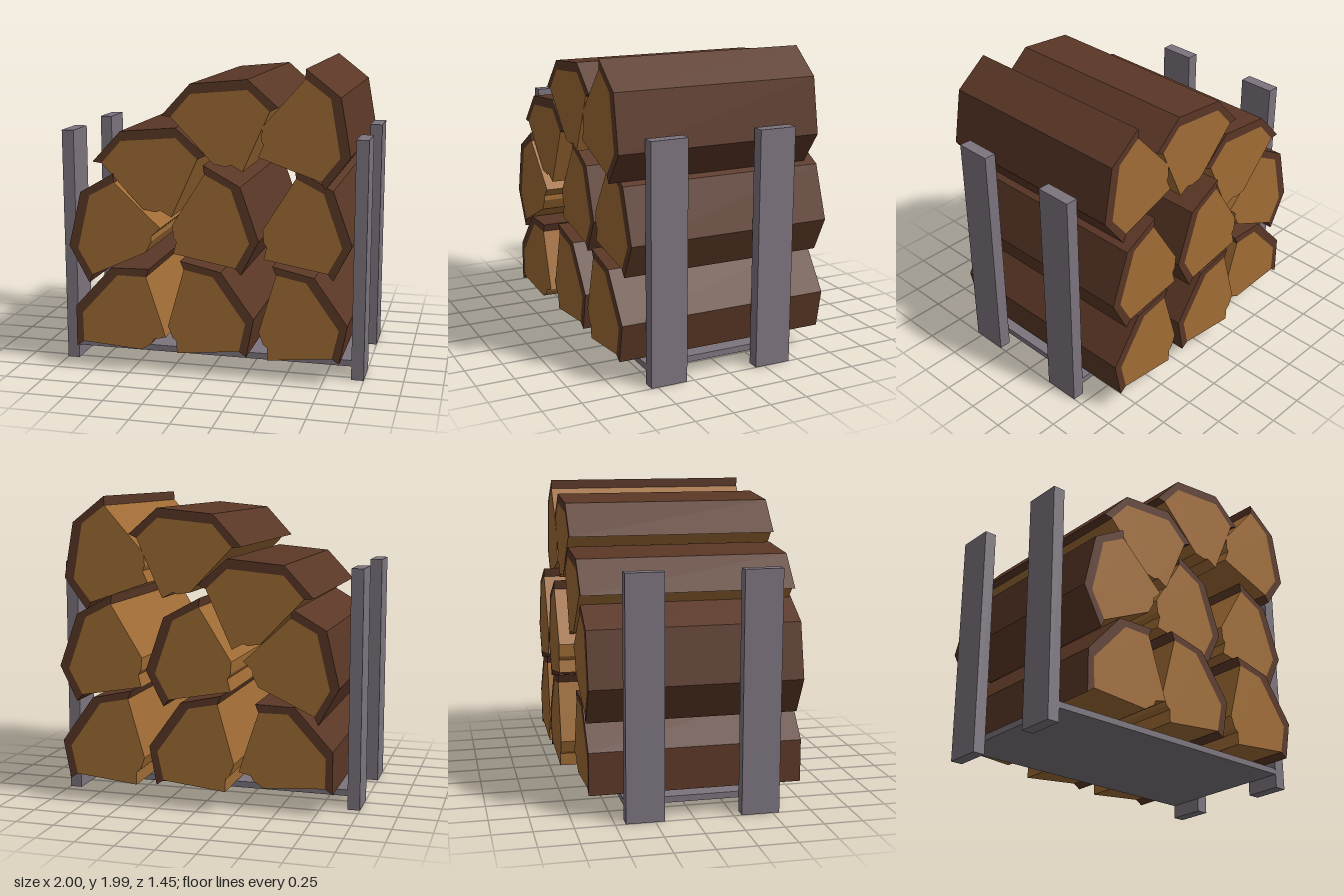
import * as THREE from 'three';

// Split-log cross-section, centred on the chord between the two bark tips
const BARK_OUTER = [[-0.371, 0], [-0.168, 0.183], [0.195, 0.184], [0.371, 0]];
const BARK_INNER = [[0.317, -0.02], [0.19, 0.121], [-0.171, 0.121], [-0.312, -0.012]];
const SPLIT_EDGE = [[-0.066, -0.321], [0.013, -0.342], [0.046, -0.333], [0.114, -0.379]];

// x, y, turn in degrees, back z, front z
const LOGS = [
  [-0.612, 0.422, 47.6, -0.64, 0.725],
  [0.051, 0.452, -54.4, -0.727, 0.695],
  [0.647, 0.452, -54.6, -0.727, 0.695],
  [-0.679, 0.944, 76.5, -0.64, 0.725],
  [0.094, 1.016, -70.8, -0.727, 0.635],
  [0.682, 1.016, -70.3, -0.727, 0.635],
  [-0.361, 1.406, 5.0, -0.655, 0.71],
  [0.096, 1.714, 5.3, -0.655, 0.71],
  [0.695, 1.62, -80, -0.655, 0.71],
];

function prism(points, depth) {
  const shape = new THREE.Shape(points.map(([x, y]) => new THREE.Vector2(x, y)));
  return new THREE.ExtrudeGeometry(shape, { depth, bevelEnabled: false });
}

function material(name, color) {
  const m = new THREE.MeshStandardMaterial({ color });
  m.name = name;
  return m;
}

function addMesh(parent, name, geometry, mat) {
  const mesh = new THREE.Mesh(geometry, mat);
  mesh.name = name;
  parent.add(mesh);
  return mesh;
}

export function createModel() {
  const wood = material('cut wood', 0xa06c35);
  const bark = material('bark', 0x5a3726);
  const metal = material('grey metal', 0x7c747e);

  const model = new THREE.Group();
  model.name = 'firewoodRack';

  // Rack: base plate and four upright posts
  const rack = new THREE.Group();
  rack.name = 'rack';
  model.add(rack);
  addMesh(rack, 'basePlate', new THREE.BoxGeometry(1.84, 0.04, 0.975), metal)
    .position.set(0, 0.11, 0.055);
  for (const side of [-1, 1]) {
    for (const z of [0.422, -0.312]) {
      addMesh(rack, 'post', new THREE.BoxGeometry(0.08, 1.545, 0.243), metal)
        .position.set(side * 0.96, 0.7725, z);
    }
  }

  // Stacked logs: a wood wedge under a strip of bark
  for (const [x, y, turn, back, front] of LOGS) {
    const log = new THREE.Group();
    log.name = 'log';
    log.position.set(x, y, back);
    log.rotation.z = THREE.MathUtils.degToRad(turn);
    const depth = front - back;
    addMesh(log, 'logWood', prism([...BARK_INNER, ...SPLIT_EDGE], depth), wood);
    addMesh(log, 'logBark', prism([...BARK_OUTER, ...BARK_INNER], depth), bark);
    model.add(log);
  }
  return model;
}
